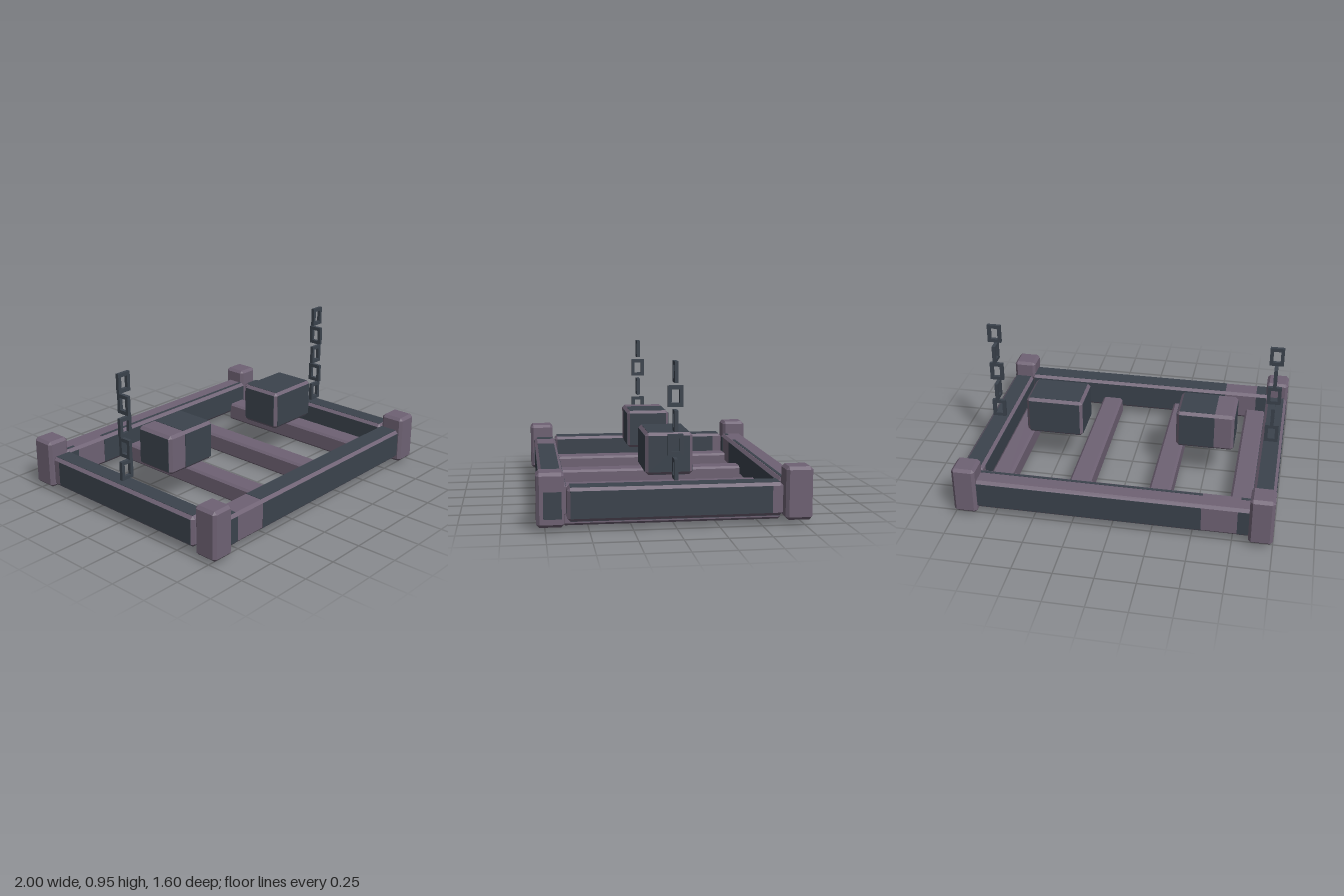
import * as THREE from 'three';
import { ConvexGeometry } from 'three/addons/geometries/ConvexGeometry.js';

const wood = new THREE.MeshStandardMaterial({ color: 0x6f6274 });
wood.name = 'mauve wood';
const slate = new THREE.MeshStandardMaterial({ color: 0x3b434d });
slate.name = 'dark slate';

const BEVEL = 0.018;

// Box with all edges and corners cut off
function bevelledBox(size, bevel) {
  const points = [];
  for (let axis = 0; axis < 3; axis++) {
    for (const sx of [-1, 1]) for (const sy of [-1, 1]) for (const sz of [-1, 1]) {
      const p = [sx, sy, sz].map((s, i) => s * (size[i] / 2 - (i === axis ? 0 : bevel)));
      points.push(new THREE.Vector3(...p));
    }
  }
  return new ConvexGeometry(points);
}

function addBlock(parent, name, size, centre, bevel = BEVEL) {
  const mesh = new THREE.Mesh(bevelledBox(size, bevel), wood);
  mesh.name = name;
  mesh.position.set(...centre);
  parent.add(mesh);
  return mesh;
}

// Thin dark plate between two corners
function addPlate(parent, name, min, max) {
  const size = max.map((v, i) => v - min[i]);
  const mesh = new THREE.Mesh(new THREE.BoxGeometry(...size), slate);
  mesh.name = name;
  mesh.position.set(...min.map((v, i) => v + size[i] / 2));
  parent.add(mesh);
}

// Dark plates on chosen faces; a band along the face (-0.78 to -0.56) stays bare
function addPanels(parent, name, size, centre, faces) {
  for (const [axis, sign] of faces) {
    const run = axis === 0 ? 2 : 0;
    const lo = centre.map((c, i) => c - size[i] / 2 + BEVEL);
    const hi = centre.map((c, i) => c + size[i] / 2 - BEVEL);
    const surface = centre[axis] + sign * size[axis] / 2;
    lo[axis] = surface - 0.002;
    hi[axis] = surface + 0.002;
    for (const [from, to] of [[-2, -0.78], [-0.56, 2]]) {
      const min = [...lo], max = [...hi];
      min[run] = Math.max(min[run], from);
      max[run] = Math.min(max[run], to);
      if (max[run] - min[run] > 0.005) addPlate(parent, name, min, max);
    }
  }
}

const X = [[0, 1], [0, -1]], Z = [[2, 1], [2, -1]], TOP = [1, 1], BOTTOM = [1, -1];

// Rectangular chain link with a window through it
function linkGeometry() {
  const rect = (path, w, h) => path.moveTo(-w, -h).lineTo(w, -h).lineTo(w, h).lineTo(-w, h).closePath();
  const shape = rect(new THREE.Shape(), 0.045, 0.061);
  shape.holes.push(rect(new THREE.Path(), 0.023, 0.038));
  return new THREE.ExtrudeGeometry(shape, { depth: 0.022, bevelEnabled: false }).translate(0, 0, -0.011);
}

export function createModel() {
  const model = new THREE.Group();
  model.name = 'hangingFrame';
  const link = linkGeometry();

  // Corner posts
  for (const sx of [-1, 1]) for (const sz of [-1, 1]) {
    addBlock(model, 'cornerPost', [0.15, 0.315, 0.16], [sx * 0.925, 0.183, sz * 0.72]);
  }
  addPlate(model, 'postPatch', [0.996, 0.075, 0.656], [1.0015, 0.232, 0.76]);

  // Front and back rails
  for (const s of [-1, 1]) {
    const size = [1.74, 0.195, 0.15], centre = [0, 0.153, s * 0.7];
    const name = s > 0 ? 'frontRail' : 'backRail';
    addBlock(model, name, size, centre);
    addPanels(model, name + 'Panel', size, centre, s > 0 ? [...Z, TOP, BOTTOM] : [...Z, BOTTOM]);
  }
  // Narrow dark strips on top of the back rail
  for (const [a, b] of [[-0.85, -0.79], [-0.555, 0.85]]) {
    addPlate(model, 'backRailStrip', [a, 0.2485, -0.668], [b, 0.2525, -0.648]);
  }

  for (const s of [-1, 1]) {
    // Side rails
    const size = [0.14, 0.195, 1.25], centre = [s * 0.925, 0.153, 0];
    addBlock(model, 'sideRail', size, centre);
    addPanels(model, 'sideRailPanel', size, centre, [...X, TOP, BOTTOM]);

    // Raised blocks
    const blockSize = [0.375, 0.255, 0.285], blockCentre = [s * 0.5, 0.379, 0];
    addBlock(model, 'raisedBlock', blockSize, blockCentre);
    addPanels(model, 'raisedBlockPanel', blockSize, blockCentre, [...X, ...Z, TOP, BOTTOM]);

    // Chains with links turned by quarter turns
    const chain = new THREE.Group();
    chain.name = 'chain';
    for (let i = 0; i < 5; i++) {
      const mesh = new THREE.Mesh(link, slate);
      mesh.name = 'chainLink';
      mesh.position.set(s * 0.922, 0.334 + i * 0.14, 0);
      mesh.rotation.y = i % 2 ? Math.PI / 2 : 0;
      chain.add(mesh);
    }
    model.add(chain);
  }

  // Slats under the frame
  for (const x of [-0.78, -0.26, 0.26, 0.78]) {
    addBlock(model, 'slat', [0.14, 0.125, 1.29], [x, 0.0625, 0], 0.014);
  }
  return model;
}
